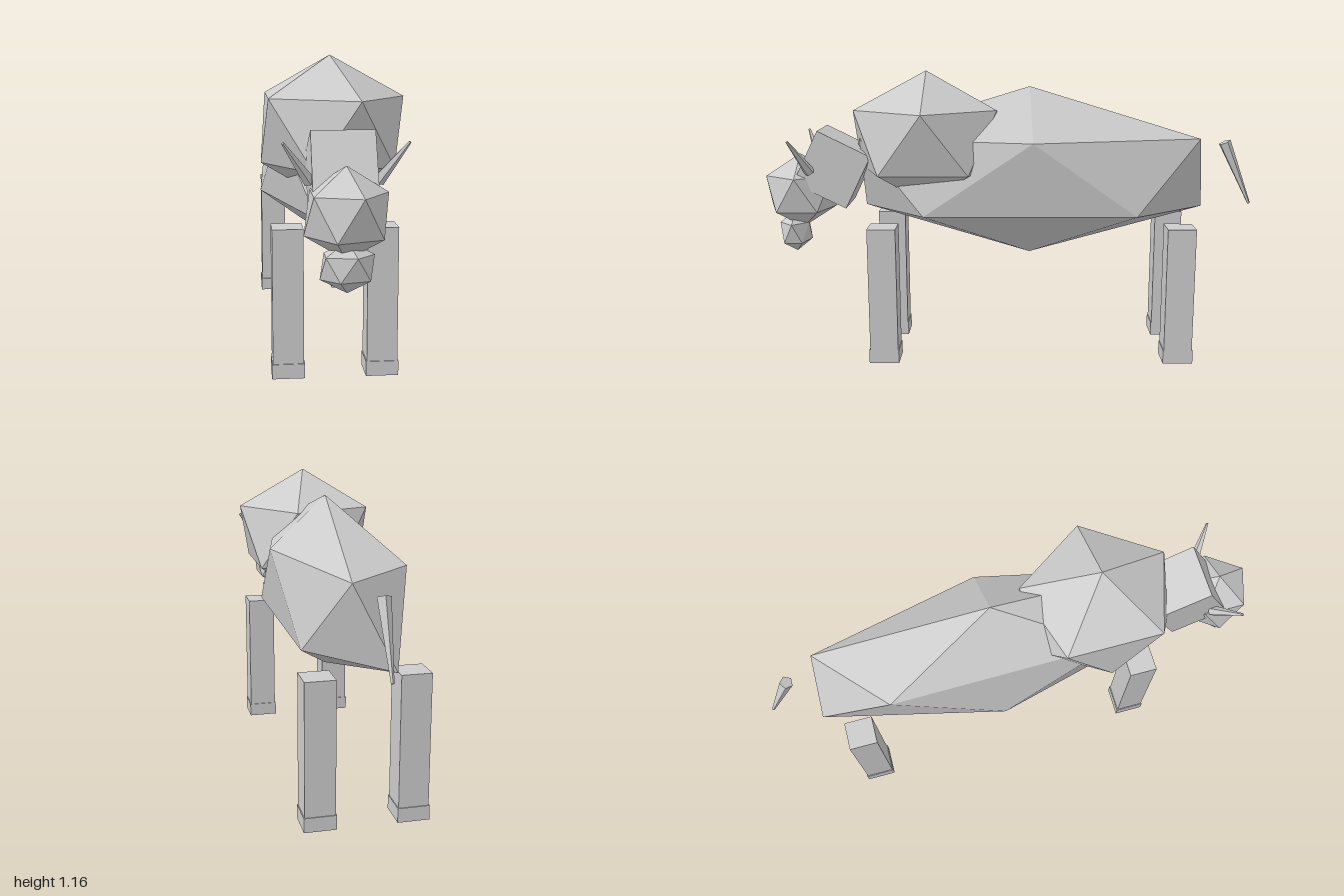
import * as THREE from 'three';
import { ConvexGeometry } from 'three/addons/geometries/ConvexGeometry.js';

const clay = new THREE.MeshStandardMaterial({ color: 0xcccccc, flatShading: true });
clay.name = 'light grey';

function add(parent, name, geometry, x = 0, y = 0, z = 0) {
  const mesh = new THREE.Mesh(geometry, clay);
  mesh.name = name;
  mesh.position.set(x, y, z);
  parent.add(mesh);
  return mesh;
}

// Twenty-sided blob standing on a vertex: two staggered rings of five between two poles.
// levels = heights of bottom pole, lower ring, upper ring, top pole;
// nudges = replacement points, keyed by index (lower ring 0-4, upper ring 5-9).
function blob(z, rx, rz, levels, nudges = {}) {
  const points = [];
  for (const side of [1, -1]) {
    for (let i = 0; i < 5; i++) {
      const a = Math.PI * (0.2 + 0.4 * i);
      points.push(new THREE.Vector3(
        side * 0.894 * rx * Math.cos(a),
        side > 0 ? levels[1] : levels[2],
        z + side * 0.894 * rz * Math.sin(a)));
    }
  }
  for (const [i, p] of Object.entries(nudges)) points[i].set(...p);
  points.push(new THREE.Vector3(0, levels[0], z), new THREE.Vector3(0, levels[3], z));
  return new ConvexGeometry(points);
}

// Tapered spike between two points
function spike(parent, name, from, to, r0, r1, sides) {
  const a = new THREE.Vector3(...from), b = new THREE.Vector3(...to);
  const dir = b.clone().sub(a);
  const mesh = add(parent, name, new THREE.CylinderGeometry(r1, r0, dir.length(), sides));
  mesh.position.copy(a).add(b).multiplyScalar(0.5);
  mesh.quaternion.setFromUnitVectors(new THREE.Vector3(0, 1, 0), dir.normalize());
}

export function createModel() {
  const model = new THREE.Group();
  model.name = 'hornedGrazer';
  const animal = new THREE.Group();
  animal.name = 'animal';
  animal.position.x = -0.0125;
  model.add(animal);

  // Long body and shoulder hump
  add(animal, 'body', blob(-0.08, 0.262, 0.81, [0.41, 0.597, 0.895, 1.1], {
    2: [-0.248, 0.587, -0.09],
    3: [-0.078, 0.59, -0.81],
    5: [-0.197, 0.895, -0.52],
    7: [0.225, 0.895, -0.09],
  }));
  add(animal, 'shoulderHump', blob(0.34, 0.3, 0.338, [0.61, 0.765, 1.01, 1.163], {
    2: [-0.258, 0.765, 0.34],
    5: [-0.235, 1.015, 0.15],
    7: [0.278, 1.01, 0.34],
    9: [-0.235, 1.015, 0.52],
  }));

  // Neck, head and muzzle
  const neck = add(animal, 'neck', new THREE.BoxGeometry(0.216, 0.235, 0.235), 0, 0.7725, 0.7175);
  neck.rotation.x = -0.46;
  add(animal, 'head', blob(0.865, 0.155, 0.158, [0.515, 0.598, 0.738, 0.825]));
  add(animal, 'muzzle', blob(0.895, 0.1, 0.07, [0.413, 0.46, 0.54, 0.587]));

  for (const s of [1, -1]) {
    // Horns
    spike(animal, s > 0 ? 'leftHorn' : 'rightHorn',
      [s * 0.112, 0.765, 0.805], [s * 0.204, 0.9, 0.868], 0.022, 0.005, 5);
    // Legs with slightly wider hooves
    for (const [end, z] of [['front', 0.509], ['rear', -0.68]]) {
      const leg = new THREE.Group();
      leg.name = end + (s > 0 ? 'LeftLeg' : 'RightLeg');
      leg.position.set(s * 0.172, 0, z);
      add(leg, 'shank', new THREE.BoxGeometry(0.113, 0.505, 0.113), 0, 0.3025, 0);
      add(leg, 'hoof', new THREE.BoxGeometry(0.12, 0.055, 0.12), 0, 0.0275, 0);
      animal.add(leg);
    }
  }

  // Tail hanging behind the body
  spike(animal, 'tail', [0, 0.872, -0.88], [0, 0.617, -0.992], 0.026, 0.006, 5);
  return model;
}
